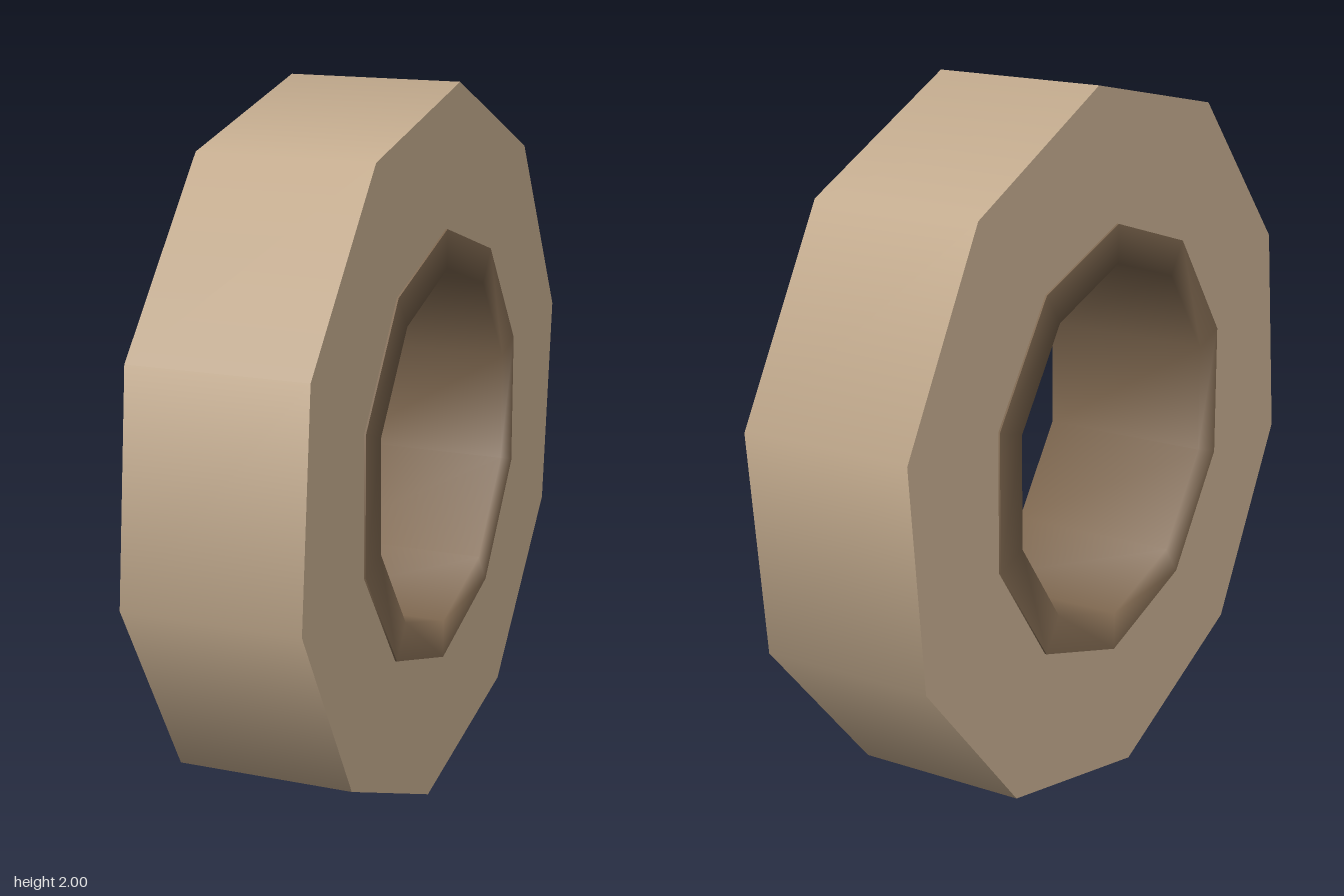
import * as THREE from 'three';

const SIDES = 10;
const CENTRE_Y = 1.003;

export function createModel() {
  const group = new THREE.Group();
  const outerMat = new THREE.MeshStandardMaterial({ name: 'light tan', color: 0xc2aa8d });
  const innerMat = new THREE.MeshStandardMaterial({ name: 'dark brown', color: 0x7f6850 });

  // Revolve a [radius, x] profile around the x axis as a ten-sided ring
  const ring = (name, profile, start, material) => {
    const points = profile.map(([r, x]) => new THREE.Vector2(r, x));
    const geometry = new THREE.LatheGeometry(points, SIDES, start, Math.PI * 2);
    geometry.rotateZ(-Math.PI / 2);
    const mesh = new THREE.Mesh(geometry, material);
    mesh.name = name;
    mesh.position.y = CENTRE_Y;
    group.add(mesh);
  };

  // Outer body: smooth tread and two flat side faces, turned slightly
  const outerStart = Math.PI / 2 - 0.1;
  const R = 1.003, W = 0.247, hole = 0.56;
  ring('tread', [[R, -W], [R, W]], outerStart, outerMat);
  ring('leftFace', [[R, W], [hole, W]], outerStart, outerMat);
  ring('rightFace', [[hole, -W], [R, -W]], outerStart, outerMat);

  // Inner liner: thin raised lips on both sides and a straight bore, softly shaded
  const lip = 0.615, bore = 0.506, L = 0.252;
  ring('liner', [[lip, L], [bore, L], [bore, -L], [lip, -L]], Math.PI / 2, innerMat);
  // Narrow edges of the raised lips
  ring('leftLipEdge', [[lip, W], [lip, L]], Math.PI / 2, innerMat);
  ring('rightLipEdge', [[lip, -L], [lip, -W]], Math.PI / 2, innerMat);

  return group;
}
